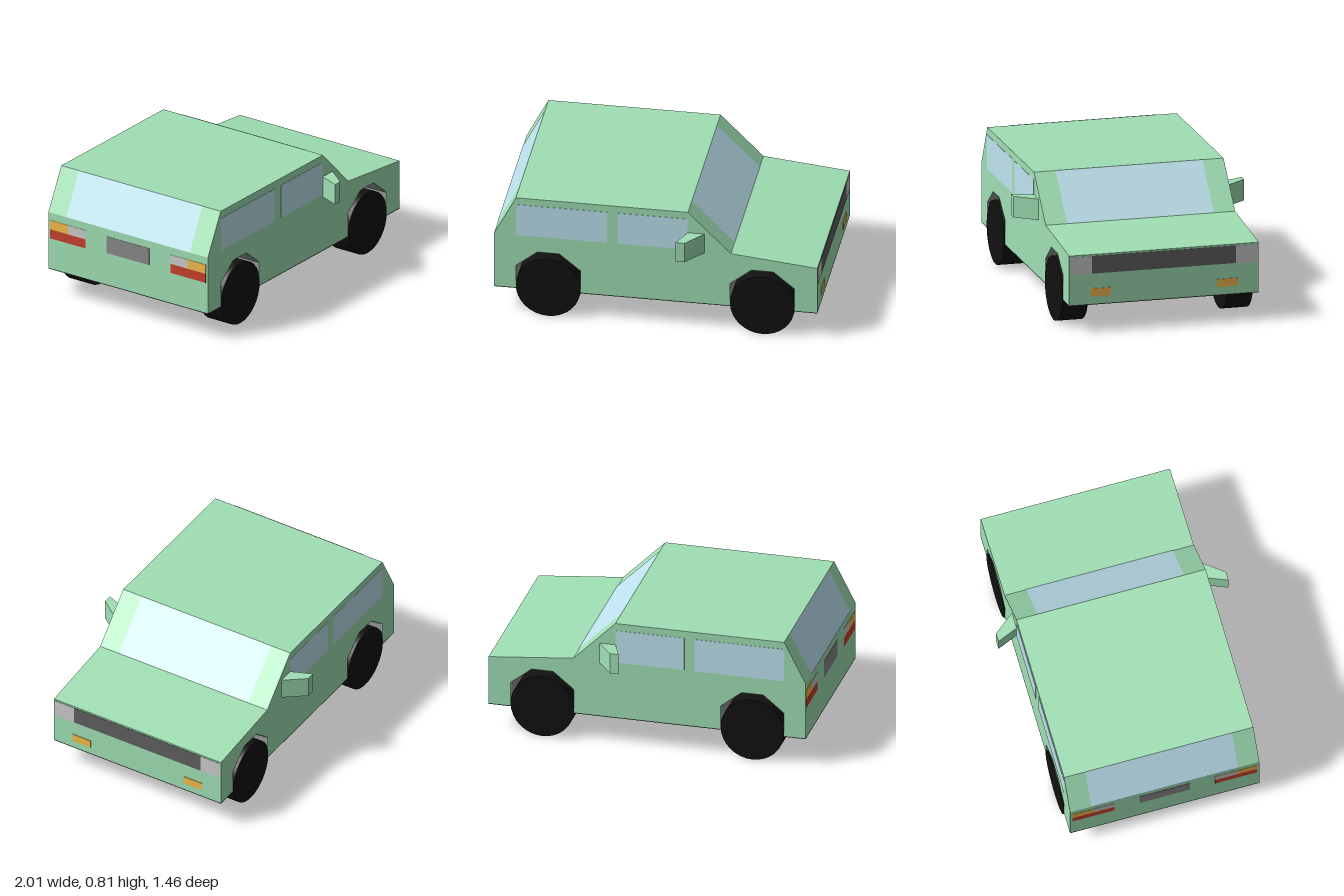
import * as THREE from 'three';

const W = 0.6; // half width of the body
const mat = (color, side = THREE.FrontSide) => new THREE.MeshStandardMaterial({ color, side, flatShading: true });
const green = mat(0xa0e0b4);
const glass = mat(0xbfe4f0, THREE.DoubleSide);
const dark = mat(0x222222, THREE.DoubleSide);
const liner = mat(0x999999, THREE.DoubleSide);
const steel = mat(0x888888);
const grilleGrey = mat(0x606060);
const lightGrey = mat(0xcccccc);
const amber = mat(0xf5bb4a);
const red = mat(0xc8402c);
const rubber = new THREE.MeshStandardMaterial({ color: 0x111111 });

// half-hexagonal wheel arch, listed from rear to front
const arch = (cx, inset = 0) => [[-0.2, 0.178], [-0.2, 0.335], [-0.068, 0.442], [0.068, 0.442], [0.2, 0.335], [0.2, 0.178]]
  .map(([x, y]) => [cx + x * (1 - inset * 5), y - (y > 0.2 ? inset : 0)]);

export function createModel() {
  const car = new THREE.Group();

  const add = (name, geometry, material, parent = car) => {
    const mesh = new THREE.Mesh(geometry, material);
    mesh.name = name;
    parent.add(mesh);
    return mesh;
  };
  // box given by its limits on each axis
  const box = (name, material, [x0, x1], [y0, y1], [z0, z1]) => {
    const mesh = add(name, new THREE.BoxGeometry(x1 - x0, y1 - y0, z1 - z0), material);
    mesh.position.set((x0 + x1) / 2, (y0 + y1) / 2, (z0 + z1) / 2);
    return mesh;
  };
  // folded sheet: a side-view polyline swept across the width
  const sheet = (name, material, points, half) => {
    const pos = [], index = [];
    points.forEach(([x, y], i) => {
      pos.push(x, y, half, x, y, -half);
      if (i) index.push(2 * i - 2, 2 * i - 1, 2 * i, 2 * i, 2 * i - 1, 2 * i + 1);
    });
    const g = new THREE.BufferGeometry();
    g.setAttribute('position', new THREE.Float32BufferAttribute(pos, 3));
    g.setIndex(index);
    g.computeVertexNormals();
    return add(name, g, material);
  };

  // body: side profile with both wheel arches cut through the full width
  const axles = [-0.665, 0.66];
  const profile = [[-1, 0.178], ...arch(axles[0]), ...arch(axles[1]), [1, 0.178],
    [1, 0.493], [0.465, 0.546], [0.2, 0.812], [-0.865, 0.812], [-1, 0.55]];
  const shape = new THREE.Shape(profile.map(([x, y]) => new THREE.Vector2(x, y)));
  const body = new THREE.ExtrudeGeometry(shape, { depth: 2 * W, bevelEnabled: false });
  add('body', body.translate(0, 0, -W), green);

  // dark floor panels between the arches, and arch linings
  [[-1, -0.865], [-0.465, 0.46], [0.86, 1]].forEach(([a, b]) =>
    sheet('floor', dark, [[a, 0.175], [b, 0.175]], W));
  axles.forEach((x) => sheet('archLining', liner, arch(x, 0.003), W - 0.002));

  // windscreen and rear window, just proud of the sloping panels
  sheet('windscreen', glass, [[0.467, 0.548], [0.202, 0.813]], 0.465);
  sheet('rearWindow', glass, [[-1.002, 0.551], [-0.867, 0.813]], 0.465);

  // chassis: propeller shaft tunnel, axle beams and engine sump
  box('centreBeam', steel, [-0.58, 0.58], [0.125, 0.18], [-0.1, 0.1]);
  axles.forEach((x) => box('axleBeam', steel, [x - 0.1, x + 0.1], [0.125, 0.18], [-0.45, 0.45]));
  box('engineBlock', dark, [0.465, 0.73], [0.18, 0.437], [-0.15, 0.15]);

  // front and rear panels
  box('grille', grilleGrey, [0.99, 1.002], [0.372, 0.483], [-0.455, 0.455]);
  box('numberPlate', steel, [-1.002, -0.99], [0.39, 0.5], [-0.16, 0.16]);

  // mirrored parts
  for (const s of [1, -1]) {
    const span = (a, b) => (s > 0 ? [a, b] : [-b, -a]);
    box('headlight', lightGrey, [0.99, 1.002], [0.372, 0.483], span(0.455, 0.59));
    box('turnSignal', amber, [0.99, 1.004], [0.228, 0.278], span(0.335, 0.465));
    box('brakeLight', red, [-1.002, -0.99], [0.38, 0.44], span(0.32, 0.585));
    box('rearTurnSignal', amber, [-1.002, -0.99], [0.44, 0.5], span(0.45, 0.585));
    box('reversingLight', lightGrey, [-1.002, -0.99], [0.44, 0.5], span(0.32, 0.45));
    box('rearSideWindow', glass, [-0.865, -0.3], [0.55, 0.765], span(0.59, 0.602));
    box('frontSideWindow', glass, [-0.235, 0.197], [0.55, 0.765], span(0.59, 0.602));

    for (const x of axles) {
      const wheel = add('wheel', new THREE.CylinderGeometry(0.2, 0.2, 0.163, 32), rubber);
      wheel.rotation.x = Math.PI / 2;
      wheel.position.set(x, 0.2, s * 0.5225);
    }

    // swept wing mirror, drawn in plan and extruded upwards
    const plan = [[0.2, 0.595], [0.305, 0.595], [0.2, 0.73], [0.145, 0.73]]
      .map(([x, z]) => new THREE.Vector2(x, -s * z));
    const mirror = new THREE.ExtrudeGeometry(new THREE.Shape(plan), { depth: 0.133, bevelEnabled: false });
    add('wingMirror', mirror.rotateX(-Math.PI / 2).translate(0, 0.535, 0), green);
  }
  return car;
}
